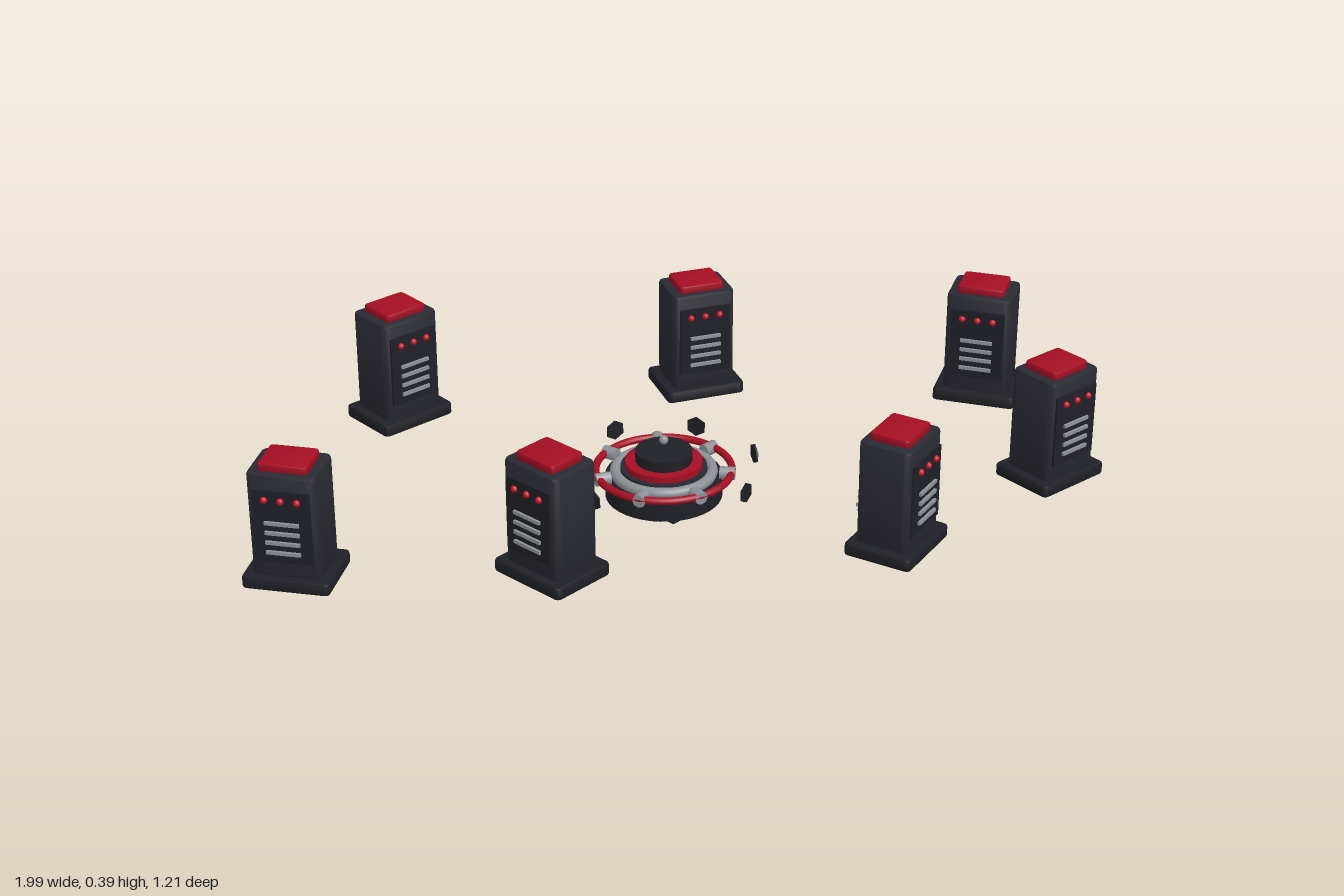
import * as THREE from 'three';
import { toCreasedNormals } from 'three/addons/utils/BufferGeometryUtils.js';

const flat = (name, color) => {
  const m = new THREE.MeshStandardMaterial({ color });
  m.name = name;
  return m;
};

export function createModel() {
  const casing = flat('charcoal casing', 0x292a32);
  const black = flat('black trim', 0x1f2026);
  const red = flat('deep red', 0xa50e22);
  const lamp = flat('bright red', 0xd01428);
  const silver = flat('silver', 0x8c9297);

  const add = (parent, name, geo, mat, x = 0, y = 0, z = 0) => {
    const mesh = new THREE.Mesh(geo, mat);
    mesh.name = name;
    mesh.position.set(x, y, z);
    parent.add(mesh);
    return mesh;
  };

  // Upright block standing on y = 0, with rounded corners and bevelled rims
  const block = (w, h, d, r, bevel) => {
    const a = w / 2 - bevel, b = d / 2 - bevel;
    const s = new THREE.Shape();
    s.moveTo(-a + r, -b);
    s.lineTo(a - r, -b);
    s.quadraticCurveTo(a, -b, a, -b + r);
    s.lineTo(a, b - r);
    s.quadraticCurveTo(a, b, a - r, b);
    s.lineTo(-a + r, b);
    s.quadraticCurveTo(-a, b, -a, b - r);
    s.lineTo(-a, -b + r);
    s.quadraticCurveTo(-a, -b, -a + r, -b);
    const g = new THREE.ExtrudeGeometry(s, {
      depth: h - 2 * bevel, bevelEnabled: true, bevelSize: bevel,
      bevelThickness: bevel, bevelSegments: 2, curveSegments: 4,
    });
    g.translate(0, 0, bevel).rotateX(-Math.PI / 2);
    return toCreasedNormals(g, 0.6);
  };

  // Shared tower geometry
  const geo = {
    base: block(0.2, 0.03, 0.163, 0.008, 0.005),
    body: block(0.158, 0.25, 0.128, 0.012, 0.006),
    cap: block(0.112, 0.022, 0.095, 0.006, 0.004),
    panel: new THREE.BoxGeometry(0.13, 0.175, 0.008),
    light: new THREE.SphereGeometry(0.008, 12, 8),
    slot: new THREE.BoxGeometry(0.078, 0.008, 0.008),
    socket: new THREE.CylinderGeometry(0.022, 0.026, 0.016, 16).rotateX(Math.PI / 2),
    ring: new THREE.TorusGeometry(0.021, 0.006, 8, 20),
    stud: new THREE.BoxGeometry(0.008, 0.008, 0.014),
    core: new THREE.CylinderGeometry(0.009, 0.009, 0.012, 12).rotateX(Math.PI / 2),
  };

  const tower = () => {
    const t = new THREE.Group();
    t.name = 'tower';
    add(t, 'basePlate', geo.base, black);
    add(t, 'casing', geo.body, casing, 0, 0.028, 0);
    add(t, 'topCap', geo.cap, red, 0, 0.274, 0);
    add(t, 'frontPanel', geo.panel, black, 0, 0.155, 0.065);
    for (let i = -1; i <= 1; i++) add(t, 'indicatorLight', geo.light, lamp, i * 0.037, 0.22, 0.07);
    for (let i = 0; i < 4; i++) add(t, 'ventSlot', geo.slot, silver, 0, 0.093 + i * 0.024, 0.071);
    // Round connector on the back
    add(t, 'connectorSocket', geo.socket, black, 0, 0.09, -0.07);
    add(t, 'connectorRing', geo.ring, silver, 0, 0.09, -0.079);
    add(t, 'connectorCore', geo.core, black, 0, 0.09, -0.083);
    for (let i = 0; i < 8; i++) {
      const a = (i * Math.PI) / 4;
      const stud = add(t, 'connectorStud', geo.stud, silver,
        Math.cos(a) * 0.023, 0.09 + Math.sin(a) * 0.023, -0.082);
      stud.rotation.z = a;
    }
    return t;
  };

  const model = new THREE.Group();
  model.name = 'towerRing';

  // Towers: x, height of the base, z, turn
  const places = [
    [-0.644, 0.074, -0.35, 0.63],
    [0.096, 0.038, -0.51, 0.24],
    [0.773, 0.091, -0.30, -0.40],
    [0.87, 0.047, 0.06, 0.60],
    [0.447, 0.067, 0.393, 0.93],
    [-0.324, 0.091, 0.476, -0.85],
    [-0.88, 0.042, 0.345, -0.30],
  ];
  for (const [x, y, z, turn] of places) {
    const t = tower();
    t.position.set(x, y, z);
    t.rotation.y = turn;
    model.add(t);
  }

  // Central hub
  const hub = new THREE.Group();
  hub.name = 'centralHub';
  hub.position.set(-0.032, 0, -0.021);
  model.add(hub);
  const disc = (name, r, y0, y1, mat) =>
    add(hub, name, new THREE.CylinderGeometry(r, r, y1 - y0, 40), mat, 0, (y0 + y1) / 2, 0);
  const hoop = (name, r, tube, y, mat) =>
    add(hub, name, new THREE.TorusGeometry(r, tube, 10, 56).rotateX(Math.PI / 2), mat, 0, y, 0);
  disc('platform', 0.138, 0, 0.052, black);
  disc('platformStep', 0.102, 0.05, 0.075, casing);
  disc('redDisc', 0.091, 0.074, 0.09, red);
  disc('hubTop', 0.067, 0.089, 0.116, black);
  hoop('silverHoop', 0.114, 0.013, 0.062, silver);
  hoop('redHoop', 0.16, 0.009, 0.066, red);
  add(hub, 'floatingBead', new THREE.SphereGeometry(0.011, 12, 8), silver, 0, 0.142, 0);

  // Seven clamps on the red hoop and seven floating hexagonal plates between them
  const clamp = new THREE.CylinderGeometry(0.016, 0.016, 0.036, 8).rotateX(Math.PI / 2);
  const plate = new THREE.CylinderGeometry(0.025, 0.025, 0.004, 6).rotateX(Math.PI / 2);
  for (let i = 0; i < 7; i++) {
    const a = (i * Math.PI * 2) / 7, b = a + Math.PI;
    const c = add(hub, 'hoopClamp', clamp, silver, Math.sin(b) * 0.15, 0.064, Math.cos(b) * 0.15);
    c.rotation.y = b;
    const p = add(hub, 'floatingPlate', plate, black, Math.sin(a) * 0.226, 0.068, Math.cos(a) * 0.226);
    p.rotation.y = a;
  }
  return model;
}
